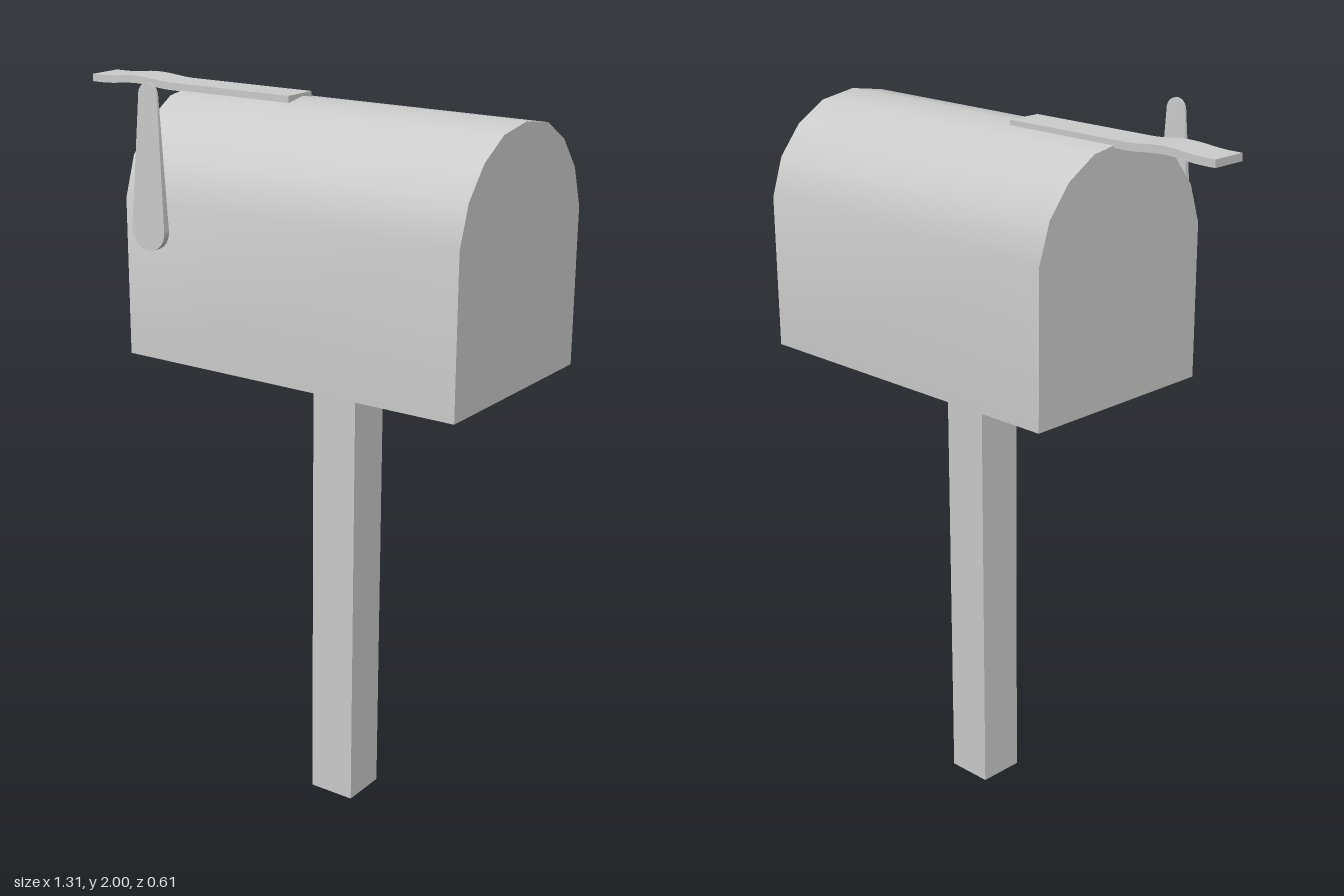
import * as THREE from 'three';
import { toCreasedNormals } from 'three/addons/utils/BufferGeometryUtils.js';

const material = new THREE.MeshStandardMaterial({ color: 0xcccccc });
const openMaterial = new THREE.MeshStandardMaterial({ color: 0xcccccc, side: THREE.DoubleSide });

function part(name, geometry, mat = material) {
  const mesh = new THREE.Mesh(toCreasedNormals(geometry, 0.6), mat);
  mesh.name = name;
  return mesh;
}

function extrude(shape, depth, curveSegments = 12) {
  return new THREE.ExtrudeGeometry(shape, { depth, bevelEnabled: false, curveSegments });
}

// Arched box, its end profile swept along x
function createBox() {
  const half = [[0.295, 1.275], [0.295, 1.695], [0.26, 1.8], [0.195, 1.88], [0.107, 1.933]];
  const points = [
    ...half.map(([x, y]) => new THREE.Vector2(x, y)),
    new THREE.Vector2(0, 1.95),
    ...half.slice().reverse().map(([x, y]) => new THREE.Vector2(-x, y)),
  ];
  const geometry = extrude(new THREE.Shape(points), 1);
  geometry.rotateY(Math.PI / 2).translate(-0.345, 0, -0.01);
  return part('mailbox', geometry);
}

// Hollow square post, open at its foot
function createPost() {
  const geometry = new THREE.CylinderGeometry(0.0665 * Math.SQRT2, 0.0665 * Math.SQRT2, 1.275, 4, 1, true);
  geometry.rotateY(Math.PI / 4).translate(0.155, 0.6375, -0.009);
  return part('post', geometry, openMaterial);
}

// Flat strip on the roof with a gentle wave in its overhanging end
function createStrip() {
  const geometry = new THREE.BoxGeometry(0.66, 0.02, 0.1, 32, 1, 1);
  geometry.translate(-0.325, 1.948, 0.002);
  const pos = geometry.attributes.position;
  for (let i = 0; i < pos.count; i++) {
    const t = (pos.getX(i) + 0.5) / 0.12;
    if (Math.abs(t) < 1) pos.setY(i, pos.getY(i) + 0.004 * (1 + Math.cos(t * Math.PI)));
  }
  geometry.computeVertexNormals();
  return part('topStrip', geometry);
}

// Signal flag: rounded paddle that narrows and thins towards its top
function createFlag() {
  const shape = new THREE.Shape();
  shape.absarc(-0.247, 1.97, 0.03, 0.06, Math.PI - 0.06, false);
  shape.absarc(-0.257, 1.623, 0.053, Math.PI - 0.04, 2 * Math.PI + 0.04, false);
  shape.closePath();
  const geometry = extrude(shape, 1, 14);
  const pos = geometry.attributes.position;
  for (let i = 0; i < pos.count; i++) {
    const t = THREE.MathUtils.clamp((pos.getY(i) - 1.62) / 0.38, 0, 1);
    const back = THREE.MathUtils.lerp(0.286, 0.3, t);
    pos.setZ(i, pos.getZ(i) > 0.5 ? 0.305 : back);
  }
  geometry.computeVertexNormals();
  return part('flag', geometry);
}

export function createModel() {
  const model = new THREE.Group();
  model.name = 'mailboxOnPost';
  model.add(createBox(), createPost(), createStrip(), createFlag());
  return model;
}
